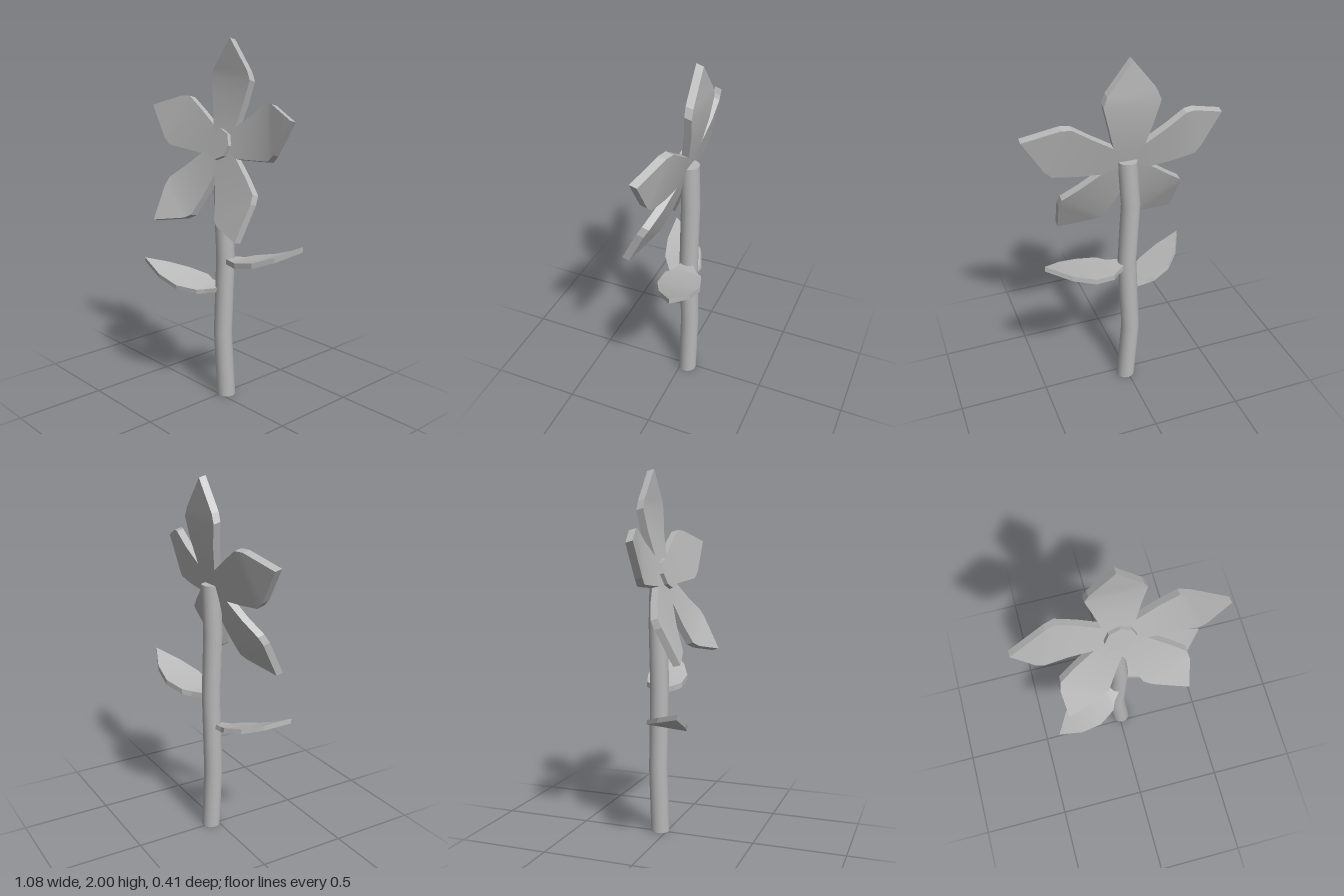
import * as THREE from 'three';

const grey = new THREE.MeshStandardMaterial({ color: 0xb8b8b8 });
grey.name = 'plain grey';

// Curved plate along +x from rows of [distance, half width, height];
// smooth top and bottom faces, sharp edge walls.
function bladeGeometry(rows, thickness) {
  const pos = [], index = [];
  const point = ([s, w, h], side, drop) => pos.push(s, h - drop, side * w) / 3 - 1;
  const quad = (a, b, c, d) => index.push(a, b, c, a, c, d);

  for (const drop of [0, thickness]) {
    const left = rows.map(r => point(r, -1, drop));
    const right = rows.map(r => point(r, 1, drop));
    for (let i = 0; i < rows.length - 1; i++) {
      if (drop === 0) quad(right[i], right[i + 1], left[i + 1], left[i]);
      else quad(left[i], left[i + 1], right[i + 1], right[i]);
    }
  }
  for (const side of [-1, 1]) {
    for (let i = 0; i < rows.length - 1; i++) {
      const corners = [
        point(rows[i], side, thickness), point(rows[i + 1], side, thickness),
        point(rows[i + 1], side, 0), point(rows[i], side, 0),
      ];
      quad(...(side > 0 ? corners : corners.reverse()));
    }
  }
  const geo = new THREE.BufferGeometry();
  geo.setAttribute('position', new THREE.Float32BufferAttribute(pos, 3));
  geo.setIndex(index);
  geo.computeVertexNormals();
  return geo;
}

function addMesh(parent, name, geo) {
  const mesh = new THREE.Mesh(geo, grey);
  mesh.name = name;
  parent.add(mesh);
  return mesh;
}

export function createModel() {
  const model = new THREE.Group();
  model.name = 'flower';

  // Gently swaying stem: each ring is moved to a [x, y] path point
  const path = [[0, 1.44], [-0.018, 1.18], [0.003, 0.82], [-0.018, 0.37], [0.012, 0]];
  const stemGeo = new THREE.CylinderGeometry(0.052, 0.052, 4, 16, 4);
  const p = stemGeo.attributes.position;
  for (let i = 0; i < p.count; i++) {
    const [x, y] = path[Math.round(2 - p.getY(i))];
    p.setXYZ(i, p.getX(i) + x, y, p.getZ(i) - 0.04);
  }
  addMesh(model, 'stem', stemGeo);

  // Flower head, leaning back
  const head = new THREE.Group();
  head.name = 'flowerHead';
  head.position.set(0, 1.431, 0);
  head.rotation.x = -0.264;
  model.add(head);

  // Five petals that curl forward towards their tips
  const petalGeo = bladeGeometry([
    [0, 0, 0], [0.117, 0.085, 0], [0.25, 0.12, 0.008],
    [0.365, 0.15, 0.025], [0.412, 0.13, 0.039], [0.568, 0, 0.082],
  ], 0.04);
  for (let i = 0; i < 5; i++) {
    const petal = addMesh(head, 'petal' + (i + 1), petalGeo);
    petal.rotation.set(Math.PI / 2, 0, Math.PI / 2 + i * Math.PI * 0.4, 'ZYX');
  }

  // Eight-sided disc in the middle
  const discGeo = new THREE.CylinderGeometry(0.084, 0.084, 0.026, 8).toNonIndexed();
  discGeo.computeVertexNormals();
  const disc = addMesh(head, 'centreDisc', discGeo);
  disc.rotation.x = Math.PI / 2;
  disc.position.set(0, 0.017, 0.009);

  // Two upward-curving leaves
  const leafGeo = bladeGeometry([
    [0, 0.03, 0], [0.07, 0.065, 0], [0.11, 0.1, 0.01],
    [0.23, 0.115, 0.035], [0.35, 0.08, 0.08], [0.47, 0, 0.14],
  ], 0.03);
  const leftLeaf = addMesh(model, 'leftLeaf', leafGeo);
  leftLeaf.position.set(0.03, 0.82, -0.04);
  leftLeaf.rotation.y = 0.2;

  const rightLeaf = addMesh(model, 'rightLeaf', leafGeo);
  rightLeaf.position.set(-0.02, 0.65, -0.02);
  rightLeaf.rotation.set(-0.2, Math.PI + 0.48, 0, 'YXZ');
  rightLeaf.scale.set(0.96, 0.9, 0.93);

  return model;
}
